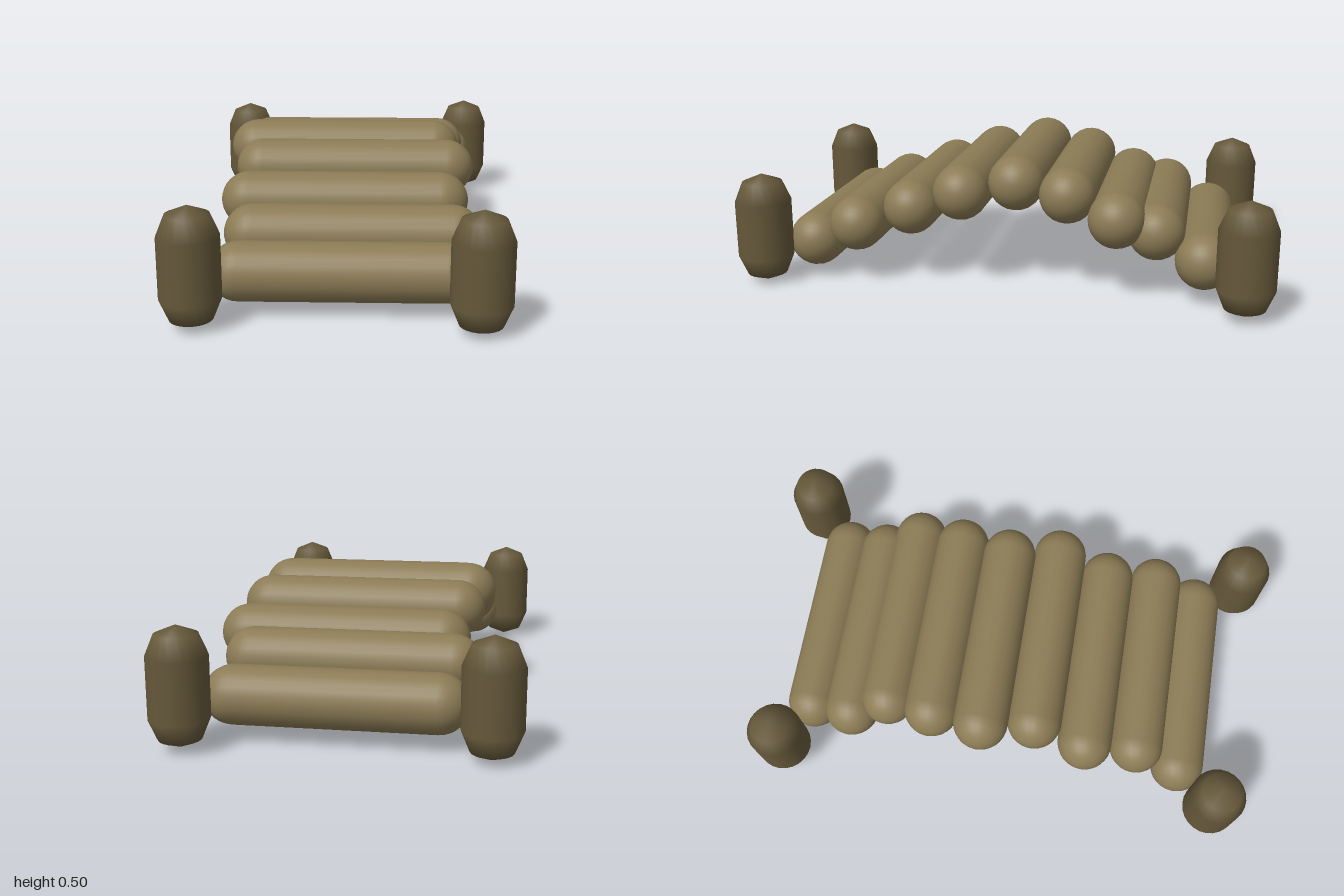
import * as THREE from 'three';

const R = 0.104;

// log centres [x, y, z], front to back
const LOGS = [
  [-0.015, 0.145, 0.725], [0.015, 0.225, 0.55], [-0.02, 0.29, 0.347],
  [0.012, 0.366, 0.145], [-0.033, 0.401, -0.055], [-0.003, 0.37, -0.25],
  [0.037, 0.298, -0.435], [-0.015, 0.247, -0.575], [0.016, 0.157, -0.75],
];

// post centres [x, y, z]
const POSTS = {
  frontRightPost: [-0.505, 0.212, 0.873],
  frontLeftPost: [0.441, 0.21, 0.893],
  backLeftPost: [0.51, 0.222, -0.896],
  backRightPost: [-0.515, 0.214, -0.842],
};

export function createModel() {
  const bridge = new THREE.Group();
  bridge.name = 'logBridge';
  const logWood = new THREE.MeshStandardMaterial({ color: 0x8b7b55 });
  const postWood = new THREE.MeshStandardMaterial({ color: 0x65583a });

  const add = (name, geometry, material, position) => {
    const mesh = new THREE.Mesh(geometry, material);
    mesh.name = name;
    mesh.position.set(...position);
    bridge.add(mesh);
  };

  // arched deck of round-ended logs lying across the bridge
  const logGeometry = new THREE.CapsuleGeometry(R, 0.7, 8, 24).rotateZ(Math.PI / 2);
  LOGS.forEach((p, i) => add(`deckLog${i + 1}`, logGeometry, logWood, p));

  // upright corner posts with coarse chamfered caps
  const postGeometry = new THREE.CapsuleGeometry(R, 0.21, 2, 24);
  for (const [name, p] of Object.entries(POSTS)) add(name, postGeometry, postWood, p);

  return bridge;
}
